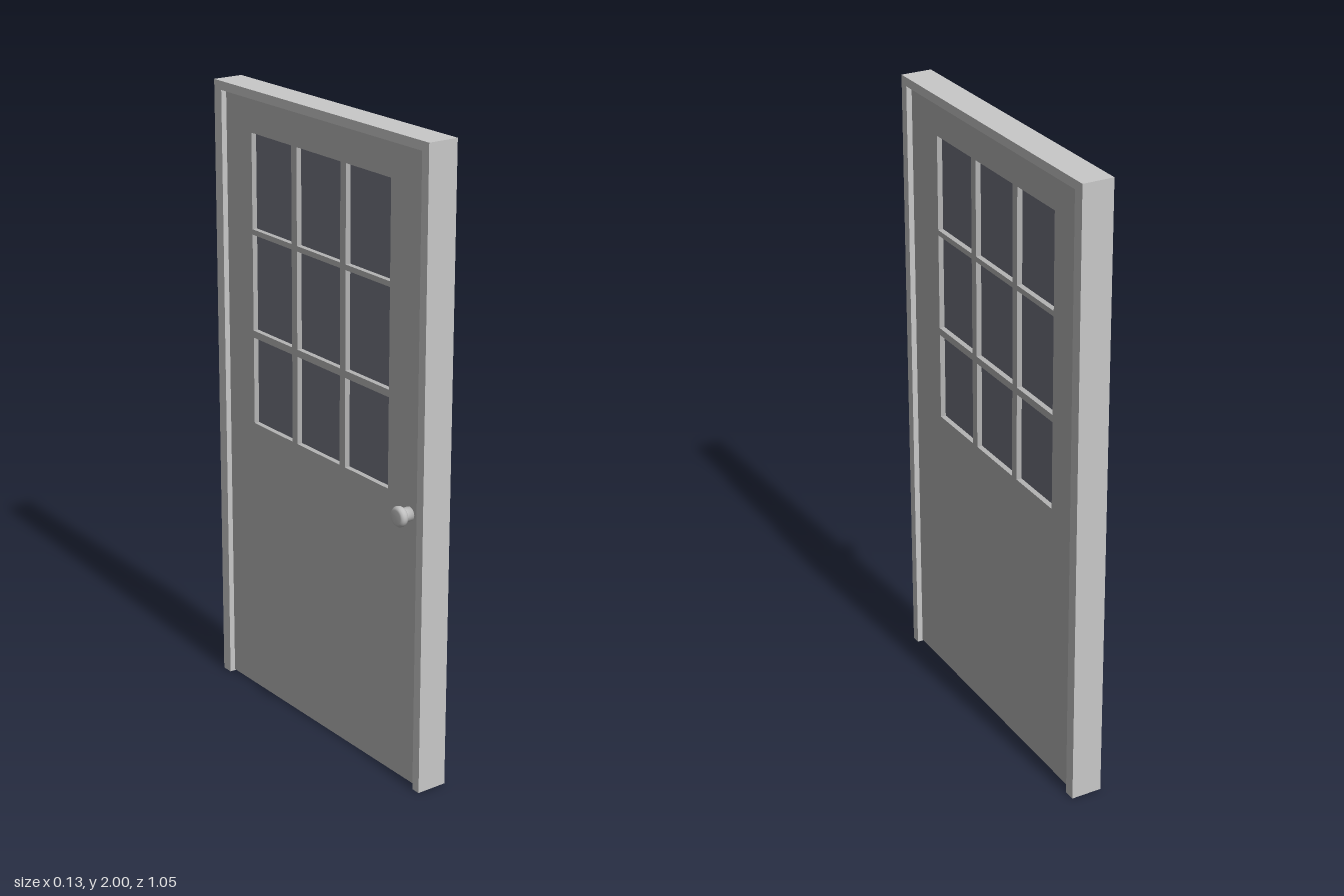
import * as THREE from 'three';

const material = (name, color) => {
  const m = new THREE.MeshStandardMaterial({ color });
  m.name = name;
  return m;
};

// Rectangle outline in (z, y)
function rectangle(Type, z0, z1, y0, y1) {
  return new Type([[z0, y0], [z1, y0], [z1, y1], [z0, y1]].map(([z, y]) => new THREE.Vector2(z, y)));
}

// Extrude a (z, y) outline across the wall thickness, from xMin to xMax
function slab(name, shape, xMin, xMax, mat) {
  const geometry = new THREE.ExtrudeGeometry(shape, { depth: xMax - xMin, bevelEnabled: false });
  geometry.rotateY(-Math.PI / 2).translate(xMax, 0, 0);
  const mesh = new THREE.Mesh(geometry, mat);
  mesh.name = name;
  return mesh;
}

export function createModel() {
  const model = new THREE.Group();
  model.name = 'door';
  const framePaint = material('frame paint', 0xc9c9c9);
  const leafPaint = material('leaf paint', 0xb4b4b4);
  const glass = material('glass', 0x727480);
  const metal = material('knob metal', 0xc0c0c0);

  // Frame: two jambs and a head, open at the floor
  const outline = [
    [-0.525, 0], [-0.487, 0], [-0.487, 1.972], [0.495, 1.972],
    [0.495, 0], [0.525, 0], [0.525, 2], [-0.525, 2],
  ].map(([z, y]) => new THREE.Vector2(z, y));
  model.add(slab('frame', new THREE.Shape(outline), -0.035, 0.065, framePaint));

  // Leaf with a three by three grid of window openings
  const columns = [[-0.353, -0.146], [-0.119, 0.098], [0.125, 0.336]];
  const rows = [[0.925, 1.21], [1.233, 1.543], [1.56, 1.862]];
  const leaf = rectangle(THREE.Shape, -0.487, 0.495, 0.004, 1.972);
  const panes = new THREE.Group();
  panes.name = 'windowPanes';
  for (const [z0, z1] of columns) {
    for (const [y0, y1] of rows) {
      leaf.holes.push(rectangle(THREE.Path, z0, z1, y0, y1));
      panes.add(slab('pane', rectangle(THREE.Shape, z0, z1, y0, y1), 0.0, 0.03, glass));
    }
  }
  model.add(slab('leaf', leaf, -0.017, 0.047, leafPaint), panes);

  // Knob: stem, collar and rounded grip turned about the x axis
  const profile = [
    [0, 0], [0.022, 0], [0.022, 0.024], [0.027, 0.026], [0.031, 0.032],
    [0.032, 0.038], [0.031, 0.044], [0.027, 0.049], [0.021, 0.051], [0, 0.051],
  ].map(([r, h]) => new THREE.Vector2(r, h));
  const knob = new THREE.Mesh(new THREE.LatheGeometry(profile, 24), metal);
  knob.name = 'knob';
  knob.rotation.z = Math.PI / 2;
  knob.position.set(-0.017, 0.88, 0.44);
  model.add(knob);

  return model;
}
